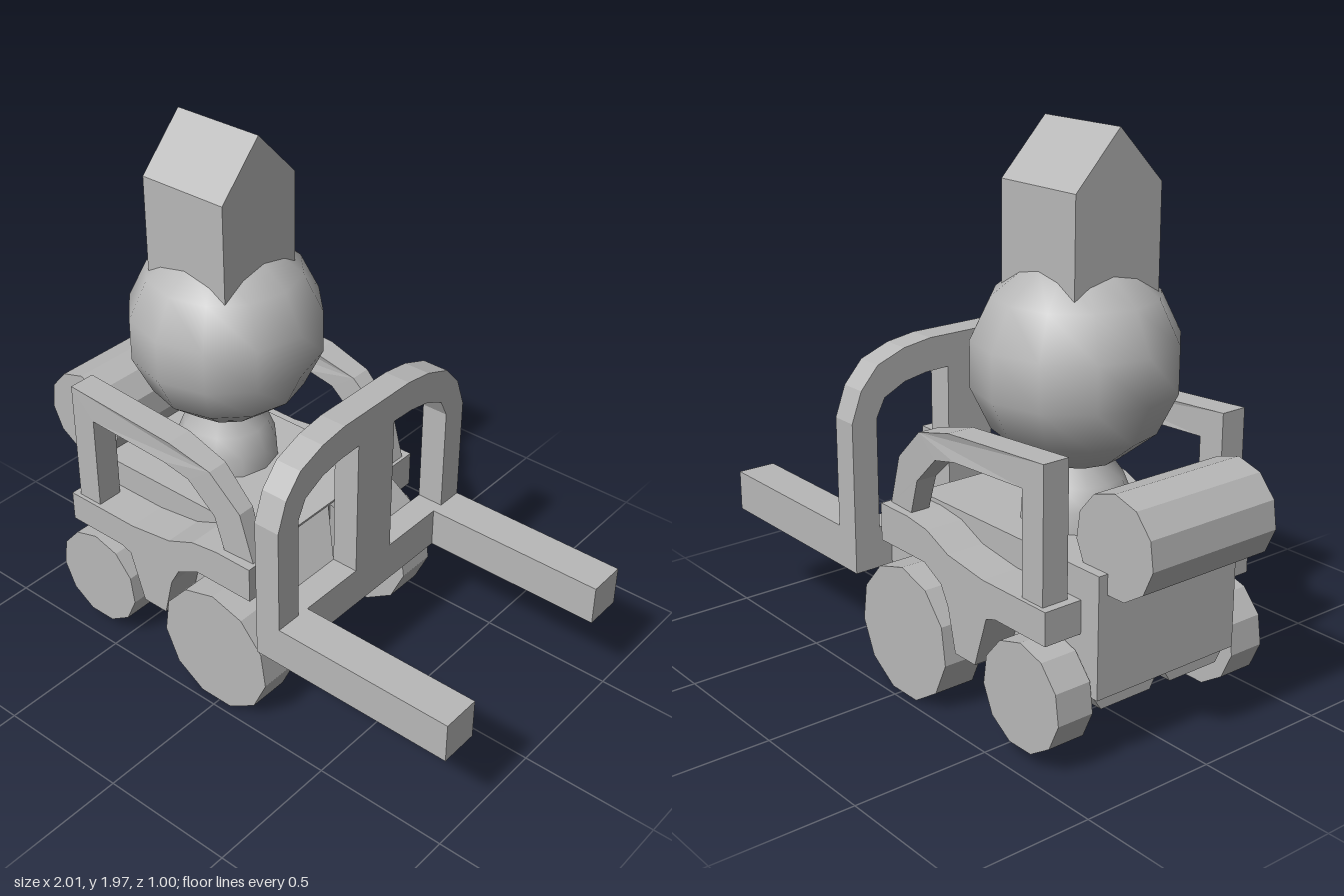
import * as THREE from 'three';

export function createModel() {
  const model = new THREE.Group();
  const grey = new THREE.MeshStandardMaterial({ color: 0xb8b8b8 });
  grey.name = 'grey paint';

  const add = (name, geometry, x = 0, y = 0, z = 0) => {
    const mesh = new THREE.Mesh(geometry, grey);
    mesh.name = name;
    mesh.position.set(x, y, z);
    model.add(mesh);
    return mesh;
  };
  const flat = (geometry) => {
    const g = geometry.index ? geometry.toNonIndexed() : geometry;
    g.computeVertexNormals();
    return g;
  };
  const outline = (points, Type = THREE.Shape) => new Type(points.map((p) => new THREE.Vector2(...p)));
  const extrude = (shape, depth) => new THREE.ExtrudeGeometry(shape, { depth, bevelEnabled: false });
  // Side profile (x, y) spanning z0..z1
  const slab = (points, z0, z1) => extrude(outline(points), z1 - z0).translate(0, 0, z0);
  // Front profile (z, y) spanning x0..x1
  const across = (shape, x0, x1) =>
    extrude(shape, x1 - x0).rotateY(Math.PI / 2).scale(1, 1, 1).translate(x0, 0, 0);
  const box = (name, x0, x1, y0, y1, z0, z1) =>
    add(name, new THREE.BoxGeometry(x1 - x0, y1 - y0, z1 - z0), (x0 + x1) / 2, (y0 + y1) / 2, (z0 + z1) / 2);
  // Eleven-sided drum lying along z, one corner at the top
  const drum = (name, r, width, x, y, z) =>
    add(name, flat(new THREE.CylinderGeometry(r, r, width, 11).rotateX(-Math.PI / 2)), x, y, z);

  // Chassis
  box('chassis', -0.81, 0.115, 0.25, 0.67, -0.3, 0.3);
  drum('counterweight', 0.172, 0.53, -0.835, 0.765, 0);

  const fender = [
    [-0.73, 0.45], [-0.485, 0.45], [-0.44, 0.435], [-0.38, 0.25], [-0.275, 0.25],
    [-0.238, 0.404], [-0.2, 0.473], [-0.11, 0.52], [0.136, 0.52], [0.136, 0.655],
    [-0.013, 0.655], [-0.125, 0.64], [-0.24, 0.59], [-0.42, 0.565], [-0.73, 0.565],
  ];
  const cabFrame = [
    [-0.7, 0.56], [-0.6, 0.56], [-0.6, 0.925], [-0.26, 0.91], [-0.15, 0.885], [-0.04, 0.78], [0, 0.65],
    [0.125, 0.65], [0.07, 0.835], [-0.055, 0.955], [-0.23, 1.0], [-0.7, 1.03],
  ];

  // Paired parts on both sides
  for (const s of [1, -1]) {
    const side = s > 0 ? 'left' : 'right';
    const span = (a, b) => (s > 0 ? [a, b] : [-b, -a]);

    drum(side + 'FrontWheel', 0.24, 0.155, -0.015, 0.235, s * 0.392);
    drum(side + 'RearWheel', 0.187, 0.14, -0.617, 0.235, s * 0.38);
    add(side + 'Fender', slab(fender, ...span(0.3, 0.445)));

    // Cab frame, narrowing towards its front foot
    const frame = slab(cabFrame, ...span(0.33, 0.43));
    const f = frame.attributes.position;
    for (let i = 0; i < f.count; i++) {
      const t = Math.max(0, Math.min(1, (f.getX(i) + 0.23) / 0.35));
      f.setZ(i, s * 0.38 + (f.getZ(i) - s * 0.38) * (1 - 0.4 * t));
    }
    add(side + 'CabFrame', flat(frame));

    // Nose half with a sloped top and a notch on the centre line
    const nose = extrude(outline([[0.11, 0], [0.215, -s * 0.095], [0.215, -s * 0.35], [0.11, -s * 0.3]]), 0.42)
      .rotateX(-Math.PI / 2).translate(0, 0.25, 0);
    const n = nose.attributes.position;
    for (let i = 0; i < n.count; i++) if (n.getX(i) > 0.2 && n.getY(i) > 0.6) n.setY(i, 0.53);
    add(side + 'Nose', flat(nose));

    // Bevelled rail under the chassis
    const rail = outline([[s * 0.005, 0.26], [s * 0.045, 0.195], [s * 0.255, 0.195], [s * 0.3, 0.26]]);
    add(side + 'UnderRail', across(rail, -0.78, 0.1));

    box(side + 'Fork', 0.31, 1.0, 0.38, 0.53, ...span(0.355, 0.5));
  }

  // Arched lifting mast with two openings
  const arch = [[0.5, 0.38], [0.5, 0.927], [0.46, 1.036], [0.39, 1.115], [0.28, 1.156], [0.17, 1.172]];
  const mirror = (pts) => pts.map(([z, y]) => [-z, y]);
  const mast = outline([...arch, ...mirror(arch).reverse()]);
  const opening = [[0.095, 0.53], [0.4, 0.53], [0.4, 0.927], [0.365, 0.995], [0.28, 1.036], [0.19, 1.052], [0.095, 1.055]];
  mast.holes.push(outline(opening, THREE.Path), outline(mirror(opening), THREE.Path));
  add('mast', across(mast, 0.215, 0.315));

  // Driver: rounded torso, ball head and a gabled hat
  const torso = [[0.19, 0.66], [0.185, 0.74], [0.155, 0.815], [0.105, 0.885], [0.1, 0.95]];
  add('driverTorso', new THREE.LatheGeometry(torso.map((p) => new THREE.Vector2(...p)), 12), -0.385, 0, -0.018);
  add('driverHead', new THREE.SphereGeometry(0.354, 12, 7), -0.378, 1.205, -0.025);
  const hat = outline([[-0.17, 1.4], [0.185, 1.4], [0.185, 1.785], [0.008, 1.97], [-0.17, 1.785]]);
  add('driverHat', across(hat, -0.55, -0.197));

  return model;
}
